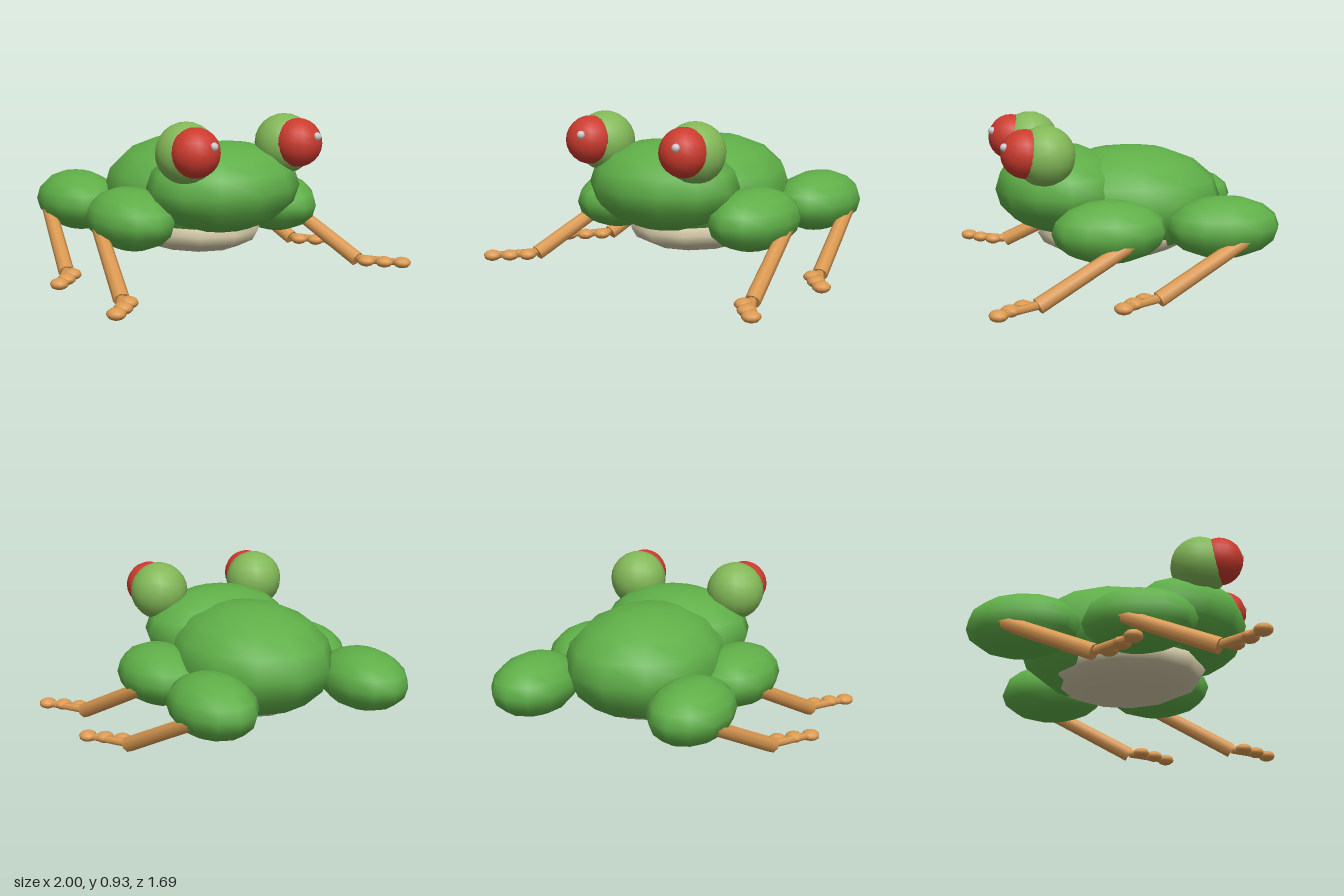
import * as THREE from 'three';

const paint = (color) => new THREE.MeshStandardMaterial({ color });
const green = paint(0x5faf48);
const lightGreen = paint(0x82b857);
const red = paint(0xcc3b2e);
const cream = paint(0xd6ccaa);
const orange = paint(0xdc9a52);
const white = paint(0xffffff);

// Ellipsoid with its poles on the y axis
function blob(name, mat, pos, radii, seg = 12, rings = 8) {
  const mesh = new THREE.Mesh(new THREE.SphereGeometry(1, seg, rings), mat);
  mesh.name = name;
  mesh.position.set(...pos);
  mesh.scale.set(...radii);
  return mesh;
}

// Straight rod between two points
function rod(name, mat, from, to, rFrom, rTo, sides = 8) {
  const a = new THREE.Vector3(...from);
  const b = new THREE.Vector3(...to);
  const dir = b.clone().sub(a);
  const mesh = new THREE.Mesh(new THREE.CylinderGeometry(rTo, rFrom, dir.length(), sides), mat);
  mesh.name = name;
  mesh.position.copy(a).add(b).multiplyScalar(0.5);
  mesh.quaternion.setFromUnitVectors(new THREE.Vector3(0, 1, 0), dir.normalize());
  return mesh;
}

// Folded leg: thigh, shin and three toes fanned outwards
function leg(name, side, z) {
  const g = new THREE.Group();
  g.name = name;
  g.position.z = z;
  g.add(blob('thigh', green, [side * 0.49, 0.355, 0], [0.23, 0.175, 0.325]));
  g.add(rod('shin', orange, [side * 0.64, 0.33, -0.12], [side * 0.795, 0.04, 0.443], 0.041, 0.045));
  const ankle = [side * 0.8, 0.047, 0.45];
  for (const [x, dz] of [[0.797, 0.522], [0.87, 0.597], [0.947, 0.665]]) {
    const tip = [side * x, 0.047, dz];
    g.add(rod('toe', orange, ankle, tip, 0.024, 0.02, 6));
    g.add(blob('toePad', orange, tip, [0.052, 0.032, 0.052], 10, 8));
  }
  return g;
}

export function createModel() {
  const model = new THREE.Group();
  model.name = 'frog';

  // Torso and head
  model.add(blob('body', green, [0, 0.44, -0.08], [0.46, 0.322, 0.56]));
  model.add(blob('belly', cream, [0, 0.255, 0], [0.385, 0.152, 0.46]));
  model.add(blob('head', green, [0, 0.525, 0.33], [0.46, 0.255, 0.375]));

  for (const side of [-1, 1]) {
    // Bulging eye with a red eyeball and a glint
    const eye = new THREE.Group();
    eye.name = side > 0 ? 'leftEye' : 'rightEye';
    eye.add(blob('eyeSocket', lightGreen, [side * 0.328, 0.76, 0.46], [0.171, 0.171, 0.171], 16, 12));
    eye.add(blob('eyeball', red, [side * 0.34, 0.778, 0.572], [0.137, 0.137, 0.137], 16, 12));
    eye.add(blob('glint', white, [side * 0.34 + 0.042, 0.823, 0.69], [0.024, 0.024, 0.024], 8, 6));
    model.add(eye);

    // Legs
    model.add(leg(side > 0 ? 'leftFrontLeg' : 'rightFrontLeg', side, 0.128));
    model.add(leg(side > 0 ? 'leftBackLeg' : 'rightBackLeg', side, -0.522));
  }
  return model;
}
